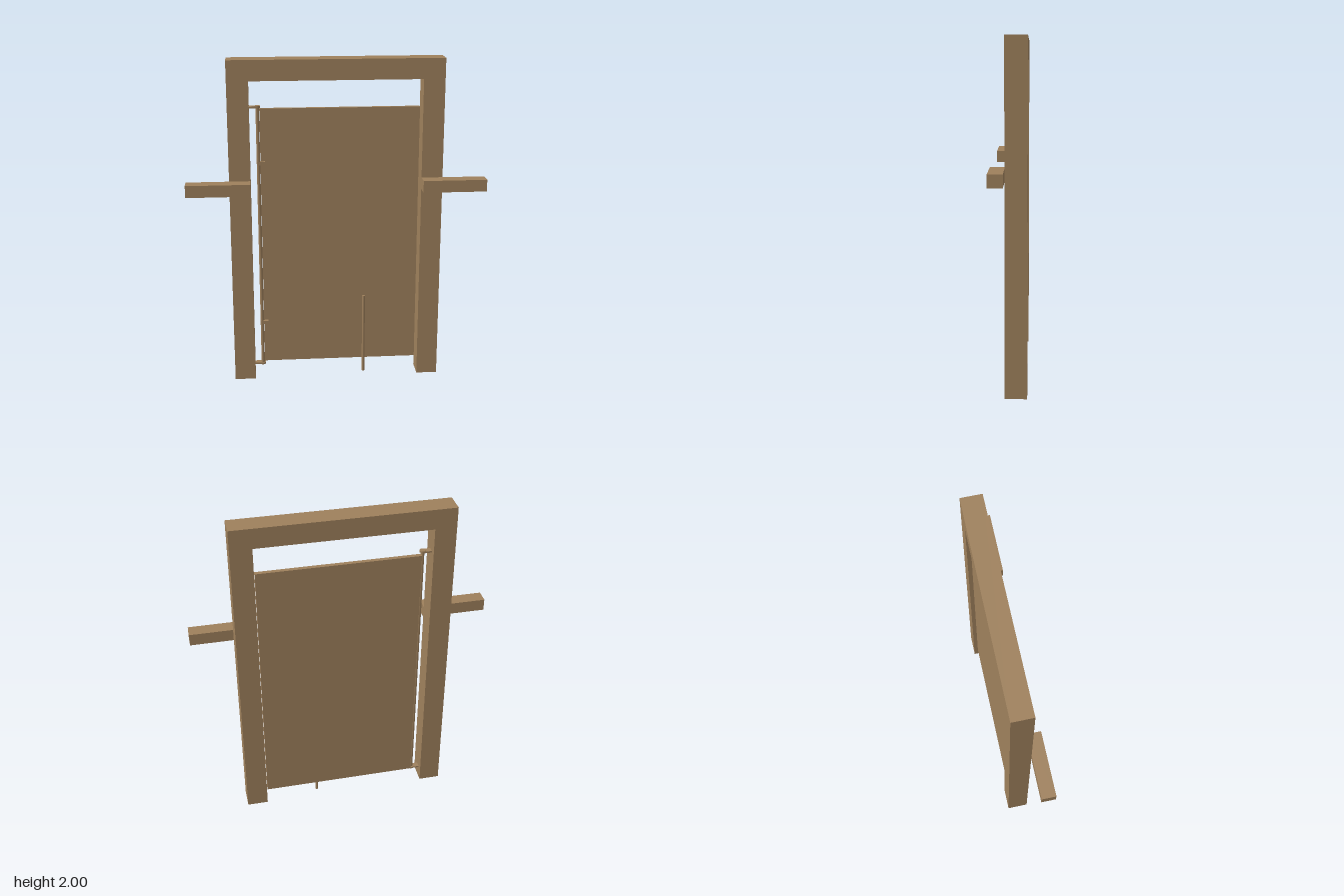
import * as THREE from 'three';

export function createModel() {
  const model = new THREE.Group();
  model.name = 'gate';
  const wood = new THREE.MeshStandardMaterial({ color: 0x9e805c });
  wood.name = 'brown wood';

  function add(name, geometry, parent = model) {
    const mesh = new THREE.Mesh(geometry, wood);
    mesh.name = name;
    parent.add(mesh);
    return mesh;
  }
  // Box given by its limits on each axis
  function box(name, x0, x1, y0, y1, z0, z1, parent) {
    const mesh = add(name, new THREE.BoxGeometry(x1 - x0, y1 - y0, z1 - z0), parent);
    mesh.position.set((x0 + x1) / 2, (y0 + y1) / 2, (z0 + z1) / 2);
    return mesh;
  }
  // Upright round bar
  function bar(name, x, z, radius, y0, y1, parent) {
    const mesh = add(name, new THREE.CylinderGeometry(radius, radius, y1 - y0, 16), parent);
    mesh.position.set(x, (y0 + y1) / 2, z);
    return mesh;
  }

  // Door frame: two posts and lintel in one piece
  const W = 0.638, w = 0.511;
  const outline = new THREE.Shape([
    [-W, 0], [-w, 0], [-w, 1.878], [w, 1.878], [w, 0], [W, 0], [W, 2], [-W, 2],
  ].map(([x, y]) => new THREE.Vector2(x, y)));
  const frame = add('frame', new THREE.ExtrudeGeometry(outline, { depth: 0.126, bevelEnabled: false }));
  frame.position.z = -0.105;

  // Wall rails fixed to the front of each post
  box('leftRail', w, 0.893, 1.214, 1.286, 0.021, 0.104);
  box('rightRail', -0.893, -w, 1.214, 1.286, 0.021, 0.104);

  // Door leaf
  const door = new THREE.Group();
  door.name = 'door';
  model.add(door);
  box('doorPanel', -0.45, 0.504, 0.086, 1.704, -0.081, -0.056, door);

  // Drop rod in front of the leaf
  bar('dropRod', 0.175, -0.046, 0.009, 0, 0.511, door);

  // Hinge bar with straps on the leaf and brackets on the post
  const hx = -0.462, hz = -0.05;
  bar('hingeBar', hx, hz, 0.0105, 0.072, 1.716, door);
  for (const y of [0.355, 1.377]) {
    box('hingeStrap', -0.468, -0.423, y - 0.01, y + 0.01, -0.058, -0.036, door);
  }
  for (const [y, dir] of [[0.078, -1], [1.716, 1]]) {
    box('hingeBracket', -w, hx, y - 0.005, y + 0.005, hz - 0.018, hz + 0.018);
    bar('hingeCollar', hx, hz, 0.018, y - 0.006 + dir * 0.002, y + 0.006 + dir * 0.002);
  }

  return model;
}
